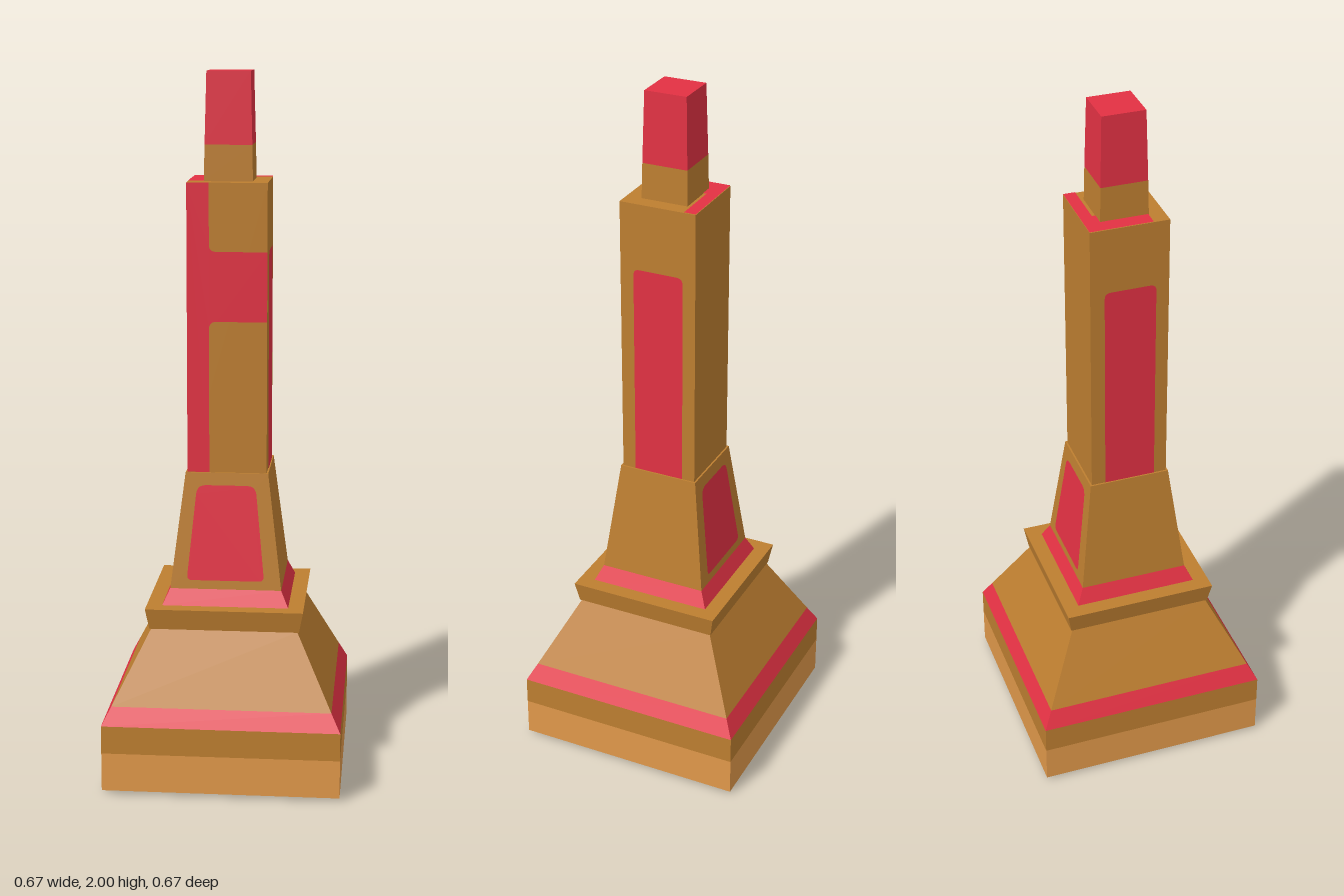
import * as THREE from 'three';

const mat = (name, color, flat = true) => {
  const m = new THREE.MeshStandardMaterial({ color, flatShading: flat });
  m.name = name;
  return m;
};

export function createModel() {
  const group = new THREE.Group();
  group.name = 'tower';
  const brown = mat('brown', 0xbd7e30);
  const red = mat('red', 0xe23143);
  const tan = mat('tan', 0xe0984a);

  const add = (name, geometry, material) => {
    const mesh = new THREE.Mesh(geometry, material);
    mesh.name = name;
    group.add(mesh);
    return mesh;
  };

  // Square section tapering from half width a at y0 to half width b at y1
  const section = (name, y0, y1, a, b, material) => {
    const g = new THREE.CylinderGeometry(b * Math.SQRT2, a * Math.SQRT2, y1 - y0, 4, 1);
    g.rotateY(Math.PI / 4).translate(0, (y0 + y1) / 2, 0);
    return add(name, g, material);
  };

  section('basePlinth', 0.01, 0.12, 0.335, 0.335, tan);
  section('baseBand', 0.12, 0.2, 0.335, 0.335, brown);
  section('skirtStripe', 0.2, 0.25, 0.335, 0.309, red);
  section('skirt', 0.25, 0.45, 0.309, 0.207, brown);
  section('collar', 0.45, 0.51, 0.212, 0.223, brown);
  section('footStripe', 0.51, 0.555, 0.179, 0.158, red);
  section('lowerShaft', 0.555, 0.885, 0.158, 0.117, brown);
  section('shaft', 0.885, 1.7, 0.112, 0.112, brown);
  section('capNeck', 1.7, 1.8, 0.068, 0.066, brown);
  section('cap', 1.8, 2, 0.066, 0.061, red);

  // Underside plate, red edges and brown below
  const plate = new THREE.BoxGeometry(0.22, 0.01, 0.22).translate(0, 0.005, 0);
  add('undersidePlate', plate, [red, red, brown, brown, red, red]);
  const patch = new THREE.BoxGeometry(0.34, 0.004, 0.34).translate(0, 0.0095, 0);
  add('undersidePatch', patch, brown);

  // Painted panel: corners are [x, y, rounding], depth gives z at height y
  const panel = (name, corners, depth, turn) => {
    const s = new THREE.Shape();
    const n = corners.length;
    corners.forEach(([x, y, r], i) => {
      const p = new THREE.Vector2(x, y);
      const toward = (c) => new THREE.Vector2(c[0], c[1]).sub(p).setLength(r).add(p);
      const a = toward(corners[(i + n - 1) % n]);
      const b = toward(corners[(i + 1) % n]);
      if (i) s.lineTo(a.x, a.y);
      else s.moveTo(a.x, a.y);
      if (r) s.quadraticCurveTo(x, y, b.x, b.y);
    });
    s.closePath();
    const g = new THREE.ShapeGeometry(s, 5);
    const pos = g.attributes.position;
    for (let i = 0; i < pos.count; i++) pos.setZ(i, depth(pos.getY(i)) + 0.002);
    g.computeVertexNormals();
    g.rotateY(turn);
    add(name, g, red);
  };
  const slope = (y) => 0.158 - ((y - 0.555) / 0.33) * 0.041;
  const wall = () => 0.112;

  // Trapezoid panels on the front and back of the lower shaft
  const trapezoid = [[-0.111, 0.58, 0.015], [0.109, 0.58, 0.015], [0.082, 0.85, 0.025], [-0.084, 0.85, 0.025]];
  panel('frontLowerPanel', trapezoid, slope, 0);
  panel('backLowerPanel', trapezoid, slope, Math.PI);

  // Tall panels on both sides of the shaft
  const tall = [[-0.072, 0.886, 0], [0.075, 0.886, 0], [0.075, 1.51, 0.018], [-0.072, 1.51, 0.018]];
  panel('leftSidePanel', tall, wall, Math.PI / 2);
  panel('rightSidePanel', tall, wall, -Math.PI / 2);

  // Upright stripe with a crossbar on the shaft front
  panel('frontStripe', [
    [-0.112, 0.886, 0], [-0.05, 0.886, 0], [-0.05, 1.315, 0.02], [0.112, 1.315, 0],
    [0.112, 1.51, 0], [-0.05, 1.51, 0.02], [-0.05, 1.7, 0], [-0.112, 1.7, 0],
  ], wall, 0);

  // Red ledge round two sides of the shaft top
  const ledge = (name, x0, x1, z0, z1) => {
    const g = new THREE.PlaneGeometry(x1 - x0, z1 - z0).rotateX(-Math.PI / 2);
    add(name, g.translate((x0 + x1) / 2, 1.702, (z0 + z1) / 2), red);
  };
  ledge('ledgeBack', -0.112, 0.112, -0.112, -0.078);
  ledge('ledgeSide', -0.112, -0.03, -0.078, 0.066);

  return group;
}
